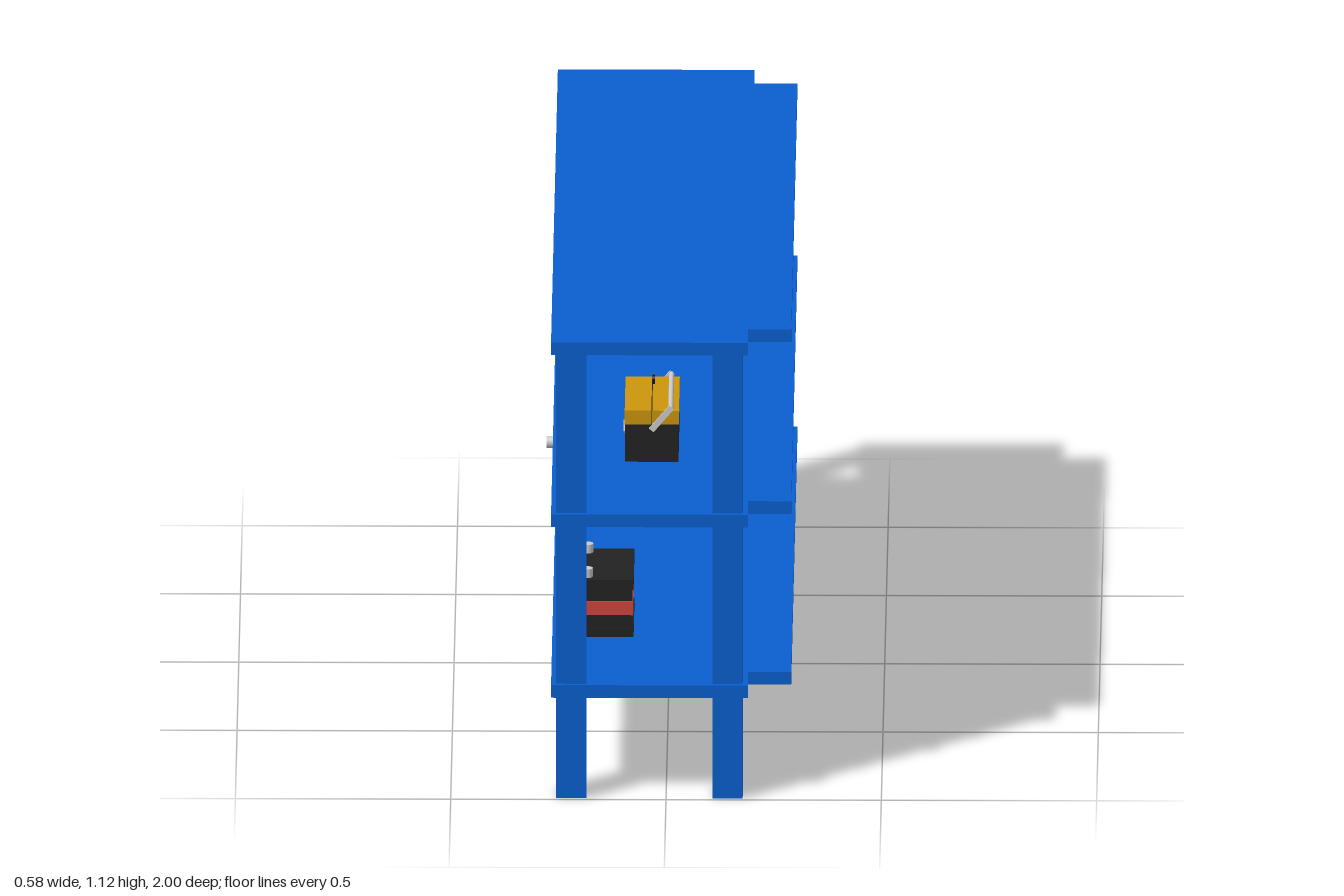
import * as THREE from 'three';
import { RoundedBoxGeometry } from 'three/addons/geometries/RoundedBoxGeometry.js';

const mat = (color, side = THREE.FrontSide) => new THREE.MeshStandardMaterial({ color, side });
const BLUE = mat(0x0a5fd0), GREY = mat(0xcccccc), DARK = mat(0x222222);
const YELLOW = mat(0xcc960c), RED = mat(0xd0453f), CAP = mat(0x0a45d0);

function add(parent, name, geometry, material, x = 0, y = 0, z = 0) {
  const mesh = new THREE.Mesh(geometry, material);
  mesh.name = name;
  mesh.position.set(x, y, z);
  parent.add(mesh);
  return mesh;
}

function group(parent, name, x, y, z) {
  const g = new THREE.Group();
  g.name = name;
  g.position.set(x, y, z);
  parent.add(g);
  return g;
}

const box = (w, h, d) => new THREE.BoxGeometry(w, h, d);
const cyl = (r, h, n = 24) => new THREE.CylinderGeometry(r, r, h, n);

// Shelf board with its two front corners notched
function shelfGeometry() {
  const s = new THREE.Shape([
    [-0.267, -1], [0.19, -1], [0.19, -0.9], [0.29, -0.9],
    [0.29, 0.9], [0.19, 0.9], [0.19, 1], [-0.267, 1],
  ].map(([x, y]) => new THREE.Vector2(x, y)));
  return new THREE.ExtrudeGeometry(s, { depth: 0.031, bevelEnabled: false }).rotateX(-Math.PI / 2);
}

// Open-ended spanner, flat in the xy plane, centred on its length
function spannerGeometry(length, thick) {
  const l = length / 2, r = length * 0.13, w = length * 0.05;
  const s = new THREE.Shape([
    [-l + r, -w], [l - 2 * r, -w], [l - 1.4 * r, -r], [l, -r * 0.8], [l, -w], [l - r, -w],
    [l - r, w], [l, w], [l, r * 0.8], [l - 1.4 * r, r], [l - 2 * r, w], [-l + r, w],
    [-l + r * 0.6, r * 0.7], [-l, r * 0.5], [-l, -r * 0.5], [-l + r * 0.6, -r * 0.7],
  ].map(([x, y]) => new THREE.Vector2(x, y)));
  return new THREE.ExtrudeGeometry(s, { depth: thick, bevelEnabled: false }).translate(0, 0, -thick / 2);
}

// Jug body: rounded box whose upper part is drawn in towards the neck
function jugGeometry() {
  const g = new RoundedBoxGeometry(0.138, 0.172, 0.138, 10, 0.02);
  const p = g.attributes.position, n = g.attributes.normal;
  const start = 0.066;
  for (let i = 0; i < p.count; i++) {
    const t = Math.max(0, (p.getY(i) - start) / (0.086 - start));
    const k = 1 - 0.3 * t * t;
    p.setX(i, p.getX(i) * k);
    p.setZ(i, p.getZ(i) * k);
    // spread the shoulder downwards
    if (t > 0) p.setY(i, 0.045 + t * 0.041);
    else if (p.getY(i) > 0) p.setY(i, p.getY(i) * 0.045 / start);
    if (t > 0 && t < 0.98) n.setY(i, n.getY(i) + 0.3);
  }
  g.normalizeNormals();
  return g;
}

function addToolbox(root) {
  const g = group(root, 'toolbox', -0.036, 0.698, 0.49);
  add(g, 'toolboxBody', box(0.124, 0.094, 0.246), DARK, 0, 0.047, 0);
  // two lid halves with a seam
  for (const s of [-1, 1])
    add(g, 'toolboxLid', box(0.062, 0.034, 0.252), YELLOW, s * 0.032, 0.109, 0);
  add(g, 'lidSeam', box(0.004, 0.03, 0.246), DARK, 0, 0.109, 0);
  // carrying handle tipped towards the front
  for (const s of [-1, 1]) {
    const arm = add(g, 'handleArm', box(0.014, 0.072, 0.005), GREY, 0.022, 0.107, s * 0.129);
    arm.rotation.z = -0.7;
  }
  add(g, 'handleBar', cyl(0.006, 0.262, 12), GREY, 0.044, 0.131, 0).rotation.x = Math.PI / 2;
  // spanner on the back face and another standing in the seam
  const flat = add(g, 'sideSpanner', spannerGeometry(0.12, 0.005), GREY, -0.064, 0.045, 0);
  flat.rotation.set(0, -Math.PI / 2, 0.35, 'YXZ');
  const loose = add(g, 'looseSpanner', spannerGeometry(0.07, 0.005), DARK, 0.003, 0.13, -0.07);
  loose.rotation.set(0, -Math.PI / 2, 0.75, 'YXZ');
}

function addBattery(root) {
  const g = group(root, 'battery', -0.147, 0.281, 0.535);
  add(g, 'batteryFoot', box(0.138, 0.02, 0.23), DARK, 0, 0.01, 0);
  add(g, 'batteryCase', box(0.132, 0.1, 0.222), DARK, 0, 0.07, 0);
  add(g, 'batteryBand', box(0.136, 0.034, 0.227), RED, 0, 0.07, 0);
  add(g, 'batteryLid', box(0.138, 0.025, 0.23), DARK, 0, 0.1275, 0);
  for (const s of [-1, 1])
    add(g, 'batteryTerminal', cyl(0.013, 0.022), GREY, -0.039, 0.15, s * 0.09);
}

function addJug(root) {
  const g = group(root, 'jug', -0.148, 0.698, -0.68);
  add(g, 'jugBody', jugGeometry(), GREY, 0, 0.087, 0);
  add(g, 'jugNeck', cyl(0.021, 0.02), GREY, 0, 0.172, 0);
  add(g, 'jugCap', cyl(0.025, 0.021), CAP, 0, 0.185, 0);
}

function addGasCylinder(root) {
  // profile runs along the axis from the nozzle end to the domed base
  const g = group(root, 'gasCylinder', 0, 0.327, -0.641);
  const r = 0.046, round = 0.032, a = -0.245, b = 0.107, pts = [new THREE.Vector2(0, a)];
  for (const [end, from] of [[a + round, -Math.PI / 2], [b - round, 0]])
    for (let i = 0; i <= 8; i++) {
      const t = from + i * Math.PI / 16;
      pts.push(new THREE.Vector2(r - round + round * Math.cos(t), end + round * Math.sin(t)));
    }
  pts.push(new THREE.Vector2(0, b));
  add(g, 'cylinderBody', new THREE.LatheGeometry(pts, 32), GREY).rotation.z = -Math.PI / 2;
  for (const x of [0.035, -0.13])
    add(g, 'cylinderBand', cyl(0.0468, 0.012, 32), DARK, x).rotation.z = Math.PI / 2;
  add(g, 'cylinderNozzle', cyl(0.014, 0.055), GREY, -0.2625).rotation.z = Math.PI / 2;
}

export function createModel() {
  const root = new THREE.Group();
  root.name = 'storageRack';

  const shelf = shelfGeometry();
  for (const y of [0.249, 0.667, 1.088]) add(root, 'shelf', shelf, BLUE, 0, y, 0);

  const leg = box(0.07, 1.09, 0.07);
  for (const x of [-0.22, 0.143])
    for (const z of [-0.955, 0.955]) add(root, 'leg', leg, BLUE, x, 0.545, z);

  addToolbox(root);
  addBattery(root);
  addJug(root);
  addGasCylinder(root);
  return root;
}
